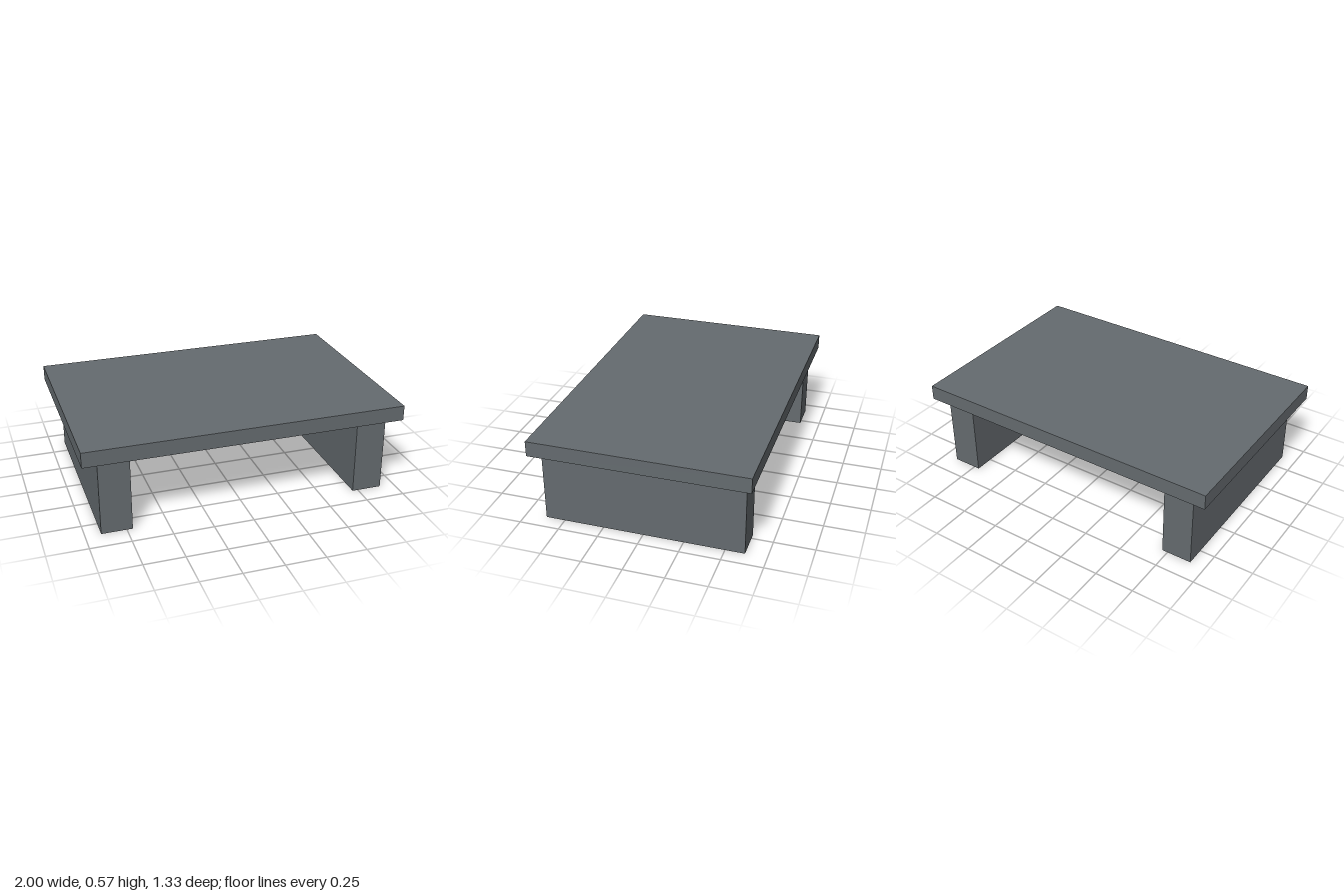
import * as THREE from 'three';

// One grid unit: the table is 21 units long
const U = 2 / 21;

// Four upright walls of a box, open at the top and bottom
function openBox(w, h, d) {
  const geometry = new THREE.BoxGeometry(w, h, d);
  const index = Array.from(geometry.index.array);
  index.splice(12, 12); // drop the top and bottom faces
  geometry.setIndex(index);
  geometry.clearGroups();
  return geometry;
}

export function createModel() {
  const group = new THREE.Group();
  group.name = 'lowTable';

  const slate = new THREE.MeshStandardMaterial({ color: 0x656b6f, side: THREE.DoubleSide });
  slate.name = 'slateGrey';

  // Flat top slab
  const top = new THREE.Mesh(new THREE.BoxGeometry(21 * U, U, 14 * U), slate);
  top.name = 'tableTop';
  top.position.y = 5.5 * U;
  group.add(top);

  // Hollow panel legs, open underneath
  for (const side of [-1, 1]) {
    const leg = new THREE.Mesh(openBox(2 * U, 5 * U, 13 * U), slate);
    leg.name = side > 0 ? 'leftLeg' : 'rightLeg';
    leg.position.set(side * 8.5 * U, 2.5 * U, 0);
    group.add(leg);
  }

  return group;
}
